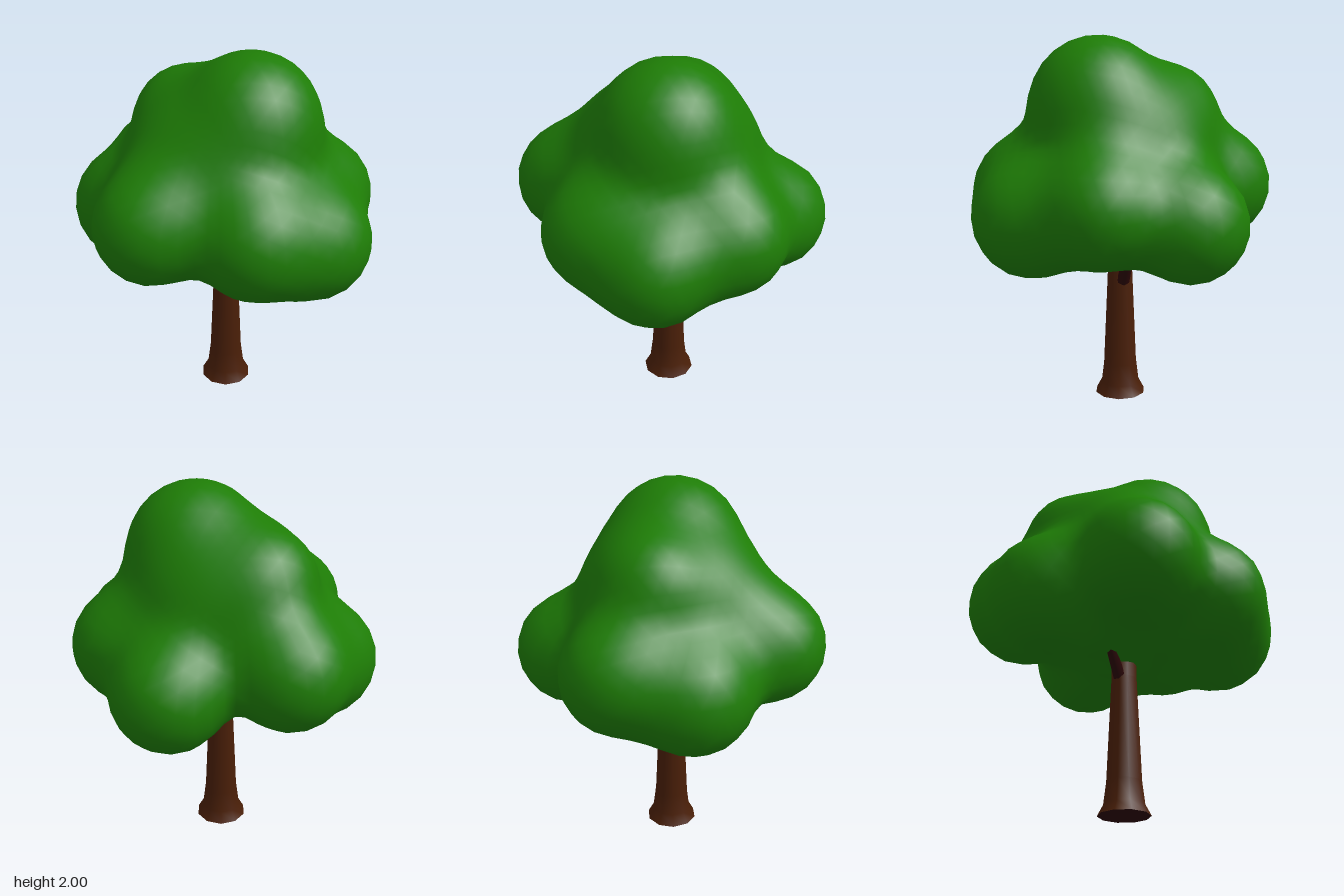
import * as THREE from 'three';
import { mergeVertices } from 'three/addons/utils/BufferGeometryUtils.js';

// Leaf lobes: x, y, z, radius
const LOBES = [
  [0.145, 1.635, 0.08, 0.365], // crown
  [-0.18, 1.54, -0.17, 0.3],   // upper back
  [0.02, 1.33, -0.08, 0.43],   // upper core
  [0.09, 1.35, 0.04, 0.43],    // right shoulder
  [-0.13, 1.35, 0.13, 0.38],   // left shoulder
  [0, 1.25, 0, 0.39],          // core
  [0.5, 1.16, -0.08, 0.31],
  [0.46, 1.08, 0.32, 0.315],
  [0.17, 1.16, 0.465, 0.315],
  [-0.35, 1.2, 0.4, 0.305],
  [-0.49, 1.08, -0.09, 0.322],
  [-0.33, 1.17, -0.42, 0.31],
  [0.28, 1.07, -0.47, 0.305],
];

// Smoothly blended distance to the lobes
function leafDistance(p) {
  const k = 0.17;
  let d = Infinity;
  for (const [x, y, z, r] of LOBES) {
    const e = Math.hypot(p.x - x, p.y - y, p.z - z) - r;
    if (d === Infinity) { d = e; continue; }
    const h = Math.max(k - Math.abs(d - e), 0) / k;
    d = Math.min(d, e) - h * h * k * 0.25;
  }
  return d;
}

// Sphere whose vertices are pulled in along their rays onto the blended lobes
function canopyGeometry() {
  let geo = new THREE.IcosahedronGeometry(1, 10);
  geo.deleteAttribute('uv');
  geo.deleteAttribute('normal');
  geo = mergeVertices(geo, 1e-4);
  const pos = geo.attributes.position;
  const centre = new THREE.Vector3(0, 1.22, 0);
  const dir = new THREE.Vector3(), p = new THREE.Vector3();
  for (let i = 0; i < pos.count; i++) {
    dir.fromBufferAttribute(pos, i).normalize();
    let t = 1.4;
    for (let s = 0; s < 80; s++) {
      p.copy(centre).addScaledVector(dir, t);
      const d = leafDistance(p);
      if (d < 0.0005) break;
      t -= d;
    }
    pos.setXYZ(i, p.x, p.y, p.z);
  }
  geo.computeVertexNormals();
  return geo;
}

export function createModel() {
  const tree = new THREE.Group();
  tree.name = 'tree';
  const leafGreen = new THREE.MeshStandardMaterial({ color: 0x1e7d06 });
  leafGreen.name = 'leafGreen';
  const barkBrown = new THREE.MeshStandardMaterial({ color: 0x4a1f08 });
  barkBrown.name = 'barkBrown';
  const branchBrown = new THREE.MeshStandardMaterial({ color: 0x2c0506 });
  branchBrown.name = 'branchBrown';

  const add = (name, geo, mat) => {
    const mesh = new THREE.Mesh(geo, mat);
    mesh.name = name;
    tree.add(mesh);
    return mesh;
  };

  add('canopy', canopyGeometry(), leafGreen);

  // Trunk flares at the foot and tapers into the leaves, with a dark underside
  const profile = [[0.14, 0], [0.108, 0.06], [0.093, 0.18], [0.068, 0.75], [0.064, 0.95]]
    .map(([r, y]) => new THREE.Vector2(r, y));
  add('trunk', new THREE.LatheGeometry(profile, 10), barkBrown).position.set(0.019, 0, 0.008);
  const base = add('trunkBase', new THREE.CircleGeometry(0.14, 10), branchBrown);
  base.rotation.set(Math.PI / 2, 0, Math.PI / 2);
  base.position.set(0.019, 0, 0.008);

  // Side branches run from the trunk into the leaves
  const branch = (name, from, to) => {
    const a = new THREE.Vector3(...from), b = new THREE.Vector3(...to);
    const axis = b.clone().sub(a);
    const mesh = add(name, new THREE.CylinderGeometry(0.024, 0.036, axis.length(), 6), branchBrown);
    mesh.position.copy(a).add(b).multiplyScalar(0.5);
    mesh.quaternion.setFromUnitVectors(new THREE.Vector3(0, 1, 0), axis.normalize());
  };
  branch('leftBranch', [0.07, 0.67, -0.03], [0.23, 0.92, -0.14]);
  branch('rightBranch', [-0.02, 0.75, 0.01], [-0.18, 0.9, 0.06]);

  return tree;
}
